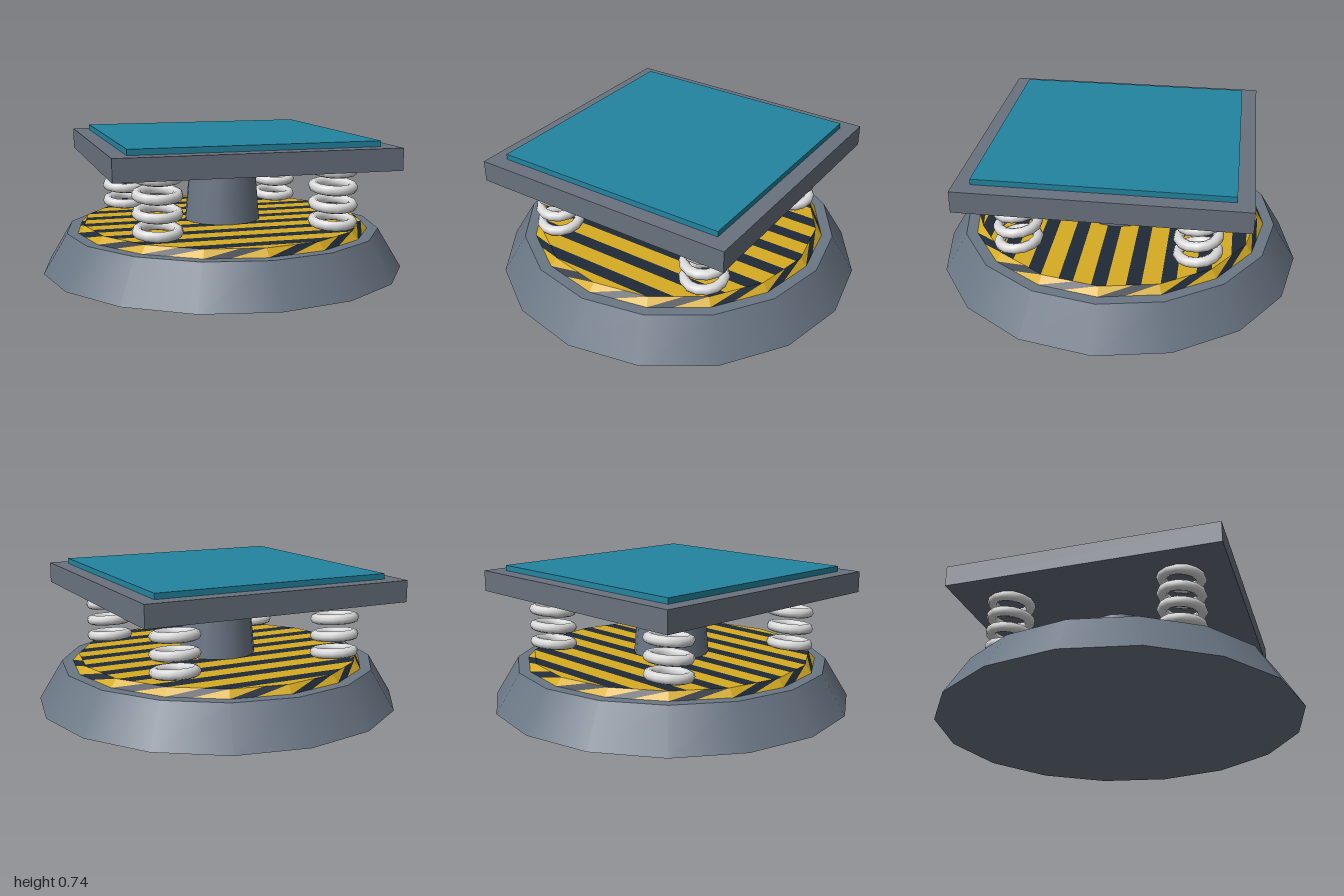
import * as THREE from 'three';

const mat = (name, color) => {
  const m = new THREE.MeshStandardMaterial({ color });
  m.name = name;
  return m;
};

export function createModel() {
  const model = new THREE.Group();
  model.name = 'springPlatform';
  const grey = mat('steelGrey', 0x6b7785);
  const plateGrey = mat('plateGrey', 0x69727e);
  const yellow = mat('hazardYellow', 0xd6ac22);
  const dark = mat('hazardDark', 0x1f2a38);
  const silver = mat('springSilver', 0xdadada);
  const teal = mat('padTeal', 0x2384a0);

  const add = (name, geometry, material, x = 0, y = 0, z = 0, parent = model) => {
    const mesh = new THREE.Mesh(geometry, material);
    mesh.name = name;
    mesh.position.set(x, y, z);
    parent.add(mesh);
    return mesh;
  };

  // Tapered sixteen-sided base and central column
  add('base', new THREE.CylinderGeometry(0.87, 1, 0.215, 16), grey, 0, 0.1075);
  add('column', new THREE.CylinderGeometry(0.18, 0.21, 0.35, 16), grey, 0, 0.425);

  // Hazard disc: collects triangles for each of its two colours
  const SIDES = 16, Y0 = 0.215, Y1 = 0.255, R0 = 0.81, R1 = 0.775;
  const faces = { yellow: [], dark: [] };
  const tri = (key, a, b, c) => faces[key].push(...a, ...b, ...c);
  const quad = (key, a, b, c, d) => { tri(key, a, b, c); tri(key, a, c, d); };
  const corner = (i, r, y) => {
    const t = (i / SIDES) * Math.PI * 2;
    return [r * Math.sin(t), y, r * Math.cos(t)];
  };
  const mix = (a, b, t) => a.map((v, i) => v + (b[i] - v) * t);

  // Slanted stripes around the bevelled rim
  for (let i = 0; i < SIDES; i++) {
    const b0 = corner(i, R0, Y0), b1 = corner(i + 1, R0, Y0);
    const t0 = corner(i, R1, Y1), t1 = corner(i + 1, R1, Y1);
    const b = mix(b0, b1, 0.42), t = mix(t0, t1, 0.58);
    tri('yellow', b0, t, t0);
    quad('dark', b0, b, t1, t);
    tri('yellow', b, b1, t1);
  }

  // Straight stripes across the top, cut to the polygon outline
  const outline = [];
  for (let i = 0; i <= SIDES / 2; i++) outline.push(corner(i, R1, Y1));
  const halfWidth = (z) => {
    for (let i = 0; i < outline.length - 1; i++) {
      const [xa, , za] = outline[i], [xb, , zb] = outline[i + 1];
      if (z <= za + 1e-6 && z >= zb - 1e-6) return xa + ((xb - xa) * (za - z)) / (za - zb);
    }
    return 0;
  };
  const PITCH = 0.17, DARK = 0.075;
  const cuts = outline.map((p) => p[2]);
  for (let k = -5; k <= 5; k++) {
    for (const s of [-1, 1]) {
      const z = k * PITCH + (s * DARK) / 2;
      if (Math.abs(z) < R1) cuts.push(z);
    }
  }
  cuts.sort((a, b) => a - b);
  for (let i = 0; i < cuts.length - 1; i++) {
    const za = cuts[i], zb = cuts[i + 1];
    if (zb - za < 1e-5) continue;
    const mid = (za + zb) / 2;
    const fromStripe = Math.abs(mid - Math.round(mid / PITCH) * PITCH);
    const wa = halfWidth(za), wb = halfWidth(zb);
    quad(fromStripe < DARK / 2 ? 'dark' : 'yellow',
      [-wb, Y1, zb], [wb, Y1, zb], [wa, Y1, za], [-wa, Y1, za]);
  }
  const disc = new THREE.Group();
  disc.name = 'hazardDisc';
  model.add(disc);
  for (const [key, material] of [['yellow', yellow], ['dark', dark]]) {
    const g = new THREE.BufferGeometry();
    g.setAttribute('position', new THREE.Float32BufferAttribute(faces[key], 3));
    g.computeVertexNormals();
    add(key + 'Stripes', g, material, 0, 0, 0, disc);
  }

  // Four springs, each a stack of tilted rings
  const ring = new THREE.TorusGeometry(0.103, 0.028, 8, 14);
  ring.rotateX(Math.PI / 2 + 0.11);
  for (const x of [-0.47, 0.47]) {
    for (const z of [-0.47, 0.47]) {
      const spring = new THREE.Group();
      spring.name = (z > 0 ? 'front' : 'back') + (x > 0 ? 'Left' : 'Right') + 'Spring';
      spring.position.set(x, 0, z);
      for (let i = 0; i < 4; i++) add('coil', ring, silver, 0, 0.303 + i * 0.0925, 0, spring);
      model.add(spring);
    }
  }

  // Square platform with a thin coloured pad
  add('platform', new THREE.BoxGeometry(1.47, 0.115, 1.47), plateGrey, 0, 0.6525);
  add('pad', new THREE.BoxGeometry(1.3, 0.03, 1.3), teal, 0, 0.725);

  return model;
}
